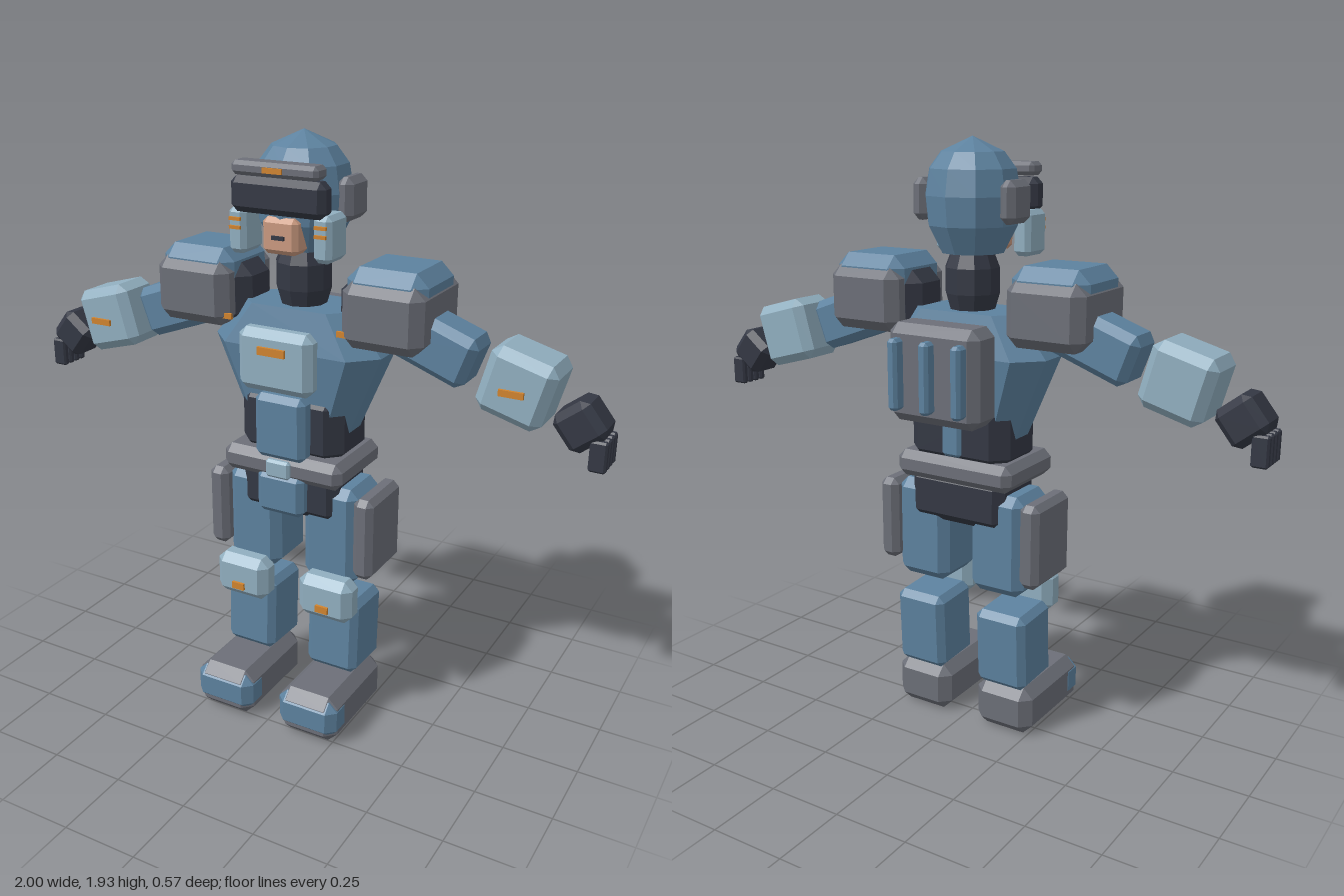
import * as THREE from 'three';
import { ConvexGeometry } from 'three/addons/geometries/ConvexGeometry.js';

const material = (name, color) => {
  const m = new THREE.MeshStandardMaterial({ color });
  m.name = name;
  return m;
};

// Box with every edge cut by a flat chamfer c
function chamferBox(w, h, d, c) {
  const pts = [];
  const [x, y, z] = [w / 2, h / 2, d / 2];
  for (const i of [-1, 1]) for (const j of [-1, 1]) for (const k of [-1, 1]) {
    pts.push(new THREE.Vector3(i * x, j * (y - c), k * (z - c)));
    pts.push(new THREE.Vector3(i * (x - c), j * y, k * (z - c)));
    pts.push(new THREE.Vector3(i * (x - c), j * (y - c), k * z));
  }
  return new ConvexGeometry(pts);
}

// Convex body from octagonal sections [y, halfWidth, halfDepth, cornerCut]
function octagonLoft(sections) {
  const pts = [];
  for (const [y, hx, hz, c] of sections)
    for (const i of [-1, 1]) for (const k of [-1, 1]) {
      pts.push(new THREE.Vector3(i * hx, y, k * (hz - c)));
      pts.push(new THREE.Vector3(i * (hx - c), y, k * hz));
    }
  return new ConvexGeometry(pts);
}

// Faceted turned shape
function facetedLathe(profile, sides) {
  const g = new THREE.LatheGeometry(profile.map(([r, y]) => new THREE.Vector2(r, y)), sides).toNonIndexed();
  g.computeVertexNormals();
  return g;
}

export function createModel() {
  const root = new THREE.Group();
  root.name = 'armouredFigure';
  const blue = material('armourBlue', 0x5d829f);
  const light = material('plateLightBlue', 0x91afc0);
  const gray = material('gearGray', 0x6c6f78);
  const dark = material('underDark', 0x343844);
  const orange = material('accentOrange', 0xd1842f);
  const skin = material('skin', 0xcb9a80);

  const add = (name, geo, mat, x = 0, y = 0, z = 0) => {
    const m = new THREE.Mesh(geo, mat);
    m.name = name;
    m.position.set(x, y, z);
    root.add(m);
    return m;
  };
  const box = (name, mat, [w, h, d], [x, y, z], c = 0.02) =>
    add(name, chamferBox(w, h, d, c), mat, x, y, z);
  const mark = (name, mat, [w, h], [x, y, z]) =>
    add(name, new THREE.BoxGeometry(w, h, 0.009), mat, x, y, z);

  // Head, helmet gear and face
  add('helmet', facetedLathe([[0, 1.58], [0.1, 1.585], [0.143, 1.67], [0.152, 1.76],
    [0.138, 1.84], [0.1, 1.89], [0, 1.935]], 10), blue);
  box('visor', dark, [0.32, 0.108, 0.07], [0, 1.757, 0.14]);
  box('brow', gray, [0.29, 0.042, 0.07], [0, 1.836, 0.15], 0.012);
  mark('browMark', orange, [0.065, 0.016], [0, 1.836, 0.187]);
  box('face', skin, [0.12, 0.11, 0.1], [0, 1.64, 0.105], 0.015);
  mark('mouth', dark, [0.042, 0.012], [0, 1.637, 0.157]);

  // Neck
  add('neck', facetedLathe([[0.065, 1.38], [0.088, 1.46], [0.088, 1.54], [0.06, 1.61]], 10), dark);

  // Torso and its plates
  add('torso', octagonLoft([[0.93, 0.15, 0.085, 0.05], [1.28, 0.295, 0.13, 0.08],
    [1.41, 0.19, 0.1, 0.06]]), blue);
  box('abdomen', dark, [0.37, 0.25, 0.24], [0, 1.03, 0], 0.05);
  box('spinePlate', blue, [0.07, 0.2, 0.03], [0, 1.05, -0.118], 0.01);
  box('chestPlate', light, [0.26, 0.2, 0.075], [0, 1.26, 0.1625], 0.025);
  mark('chestMark', orange, [0.095, 0.025], [0, 1.298, 0.205]);
  box('bellyPlate', blue, [0.18, 0.215, 0.07], [0, 1.035, 0.135]);

  // Belt and pelvis
  box('belt', gray, [0.43, 0.088, 0.3], [0, 0.9, 0.014], 0.025);
  box('buckle', light, [0.086, 0.06, 0.025], [0, 0.9, 0.166], 0.008);
  box('pelvis', dark, [0.35, 0.17, 0.23], [0, 0.8, 0], 0.03);
  box('groinPlate', blue, [0.17, 0.145, 0.06], [0, 0.81, 0.14]);

  // Backpack with three ribs
  box('backpack', gray, [0.33, 0.31, 0.14], [0, 1.23, -0.175], 0.03);
  for (const x of [-0.115, 0, 0.115])
    box('backpackRib', blue, [0.036, 0.225, 0.06], [x, 1.23, -0.255], 0.01);

  for (const s of [-1, 1]) {
    // Helmet sides
    box('earPod', gray, [0.055, 0.13, 0.125], [s * 0.158, 1.745, -0.01]);
    box('cheekGuard', light, [0.06, 0.14, 0.115], [s * 0.145, 1.645, 0.102], 0.015);
    for (const y of [1.682, 1.656])
      mark('cheekMark', orange, [0.038, 0.01], [s * 0.145, y, 0.163]);
    mark('collarMark', orange, [0.05, 0.018], [s * 0.21, 1.365, 0.13]);

    // Shoulder
    box('shoulderJoint', dark, [0.15, 0.2, 0.18], [s * 0.232, 1.42, 0], 0.04);
    box('shoulderGuard', gray, [0.265, 0.205, 0.312], [s * 0.33, 1.43, 0], 0.035);
    box('shoulderCap', blue, [0.262, 0.13, 0.26], [s * 0.328, 1.503, 0], 0.04);

    // Arm, sloping outward and down
    box('upperArm', blue, [0.38, 0.165, 0.145], [s * 0.405, 1.365, 0], 0.025).rotation.z = -s * 0.35;
    box('forearm', light, [0.21, 0.21, 0.18], [s * 0.727, 1.267, 0], 0.028).rotation.z = -s * 0.27;
    mark('forearmMark', orange, [0.075, 0.02], [s * 0.727, 1.264, 0.108]);
    box('hand', dark, [0.13, 0.13, 0.125], [s * 0.912, 1.178, 0], 0.022).rotation.z = -s * 0.9;
    for (let i = 0; i < 4; i++)
      box('finger', dark, [0.052, 0.095, 0.024], [s * 0.973, 1.102, (i - 1.5) * 0.029], 0.006);

    // Leg
    box('thigh', blue, [0.195, 0.34, 0.2], [s * 0.142, 0.665, 0], 0.03);
    box('hipGuard', gray, [0.07, 0.28, 0.225], [s * 0.27, 0.685, 0.003], 0.02);
    box('kneeGuard', light, [0.195, 0.15, 0.095], [s * 0.158, 0.462, 0.117], 0.028);
    mark('kneeMark', orange, [0.045, 0.024], [s * 0.16, 0.435, 0.169]);
    box('shin', blue, [0.185, 0.265, 0.195], [s * 0.158, 0.3, 0.005], 0.022).rotation.x = -0.045;
    box('boot', gray, [0.212, 0.165, 0.365], [s * 0.16, 0.0825, 0.1], 0.035);
    box('toeCap', blue, [0.216, 0.13, 0.115], [s * 0.16, 0.088, 0.23], 0.03);
  }
  return root;
}
